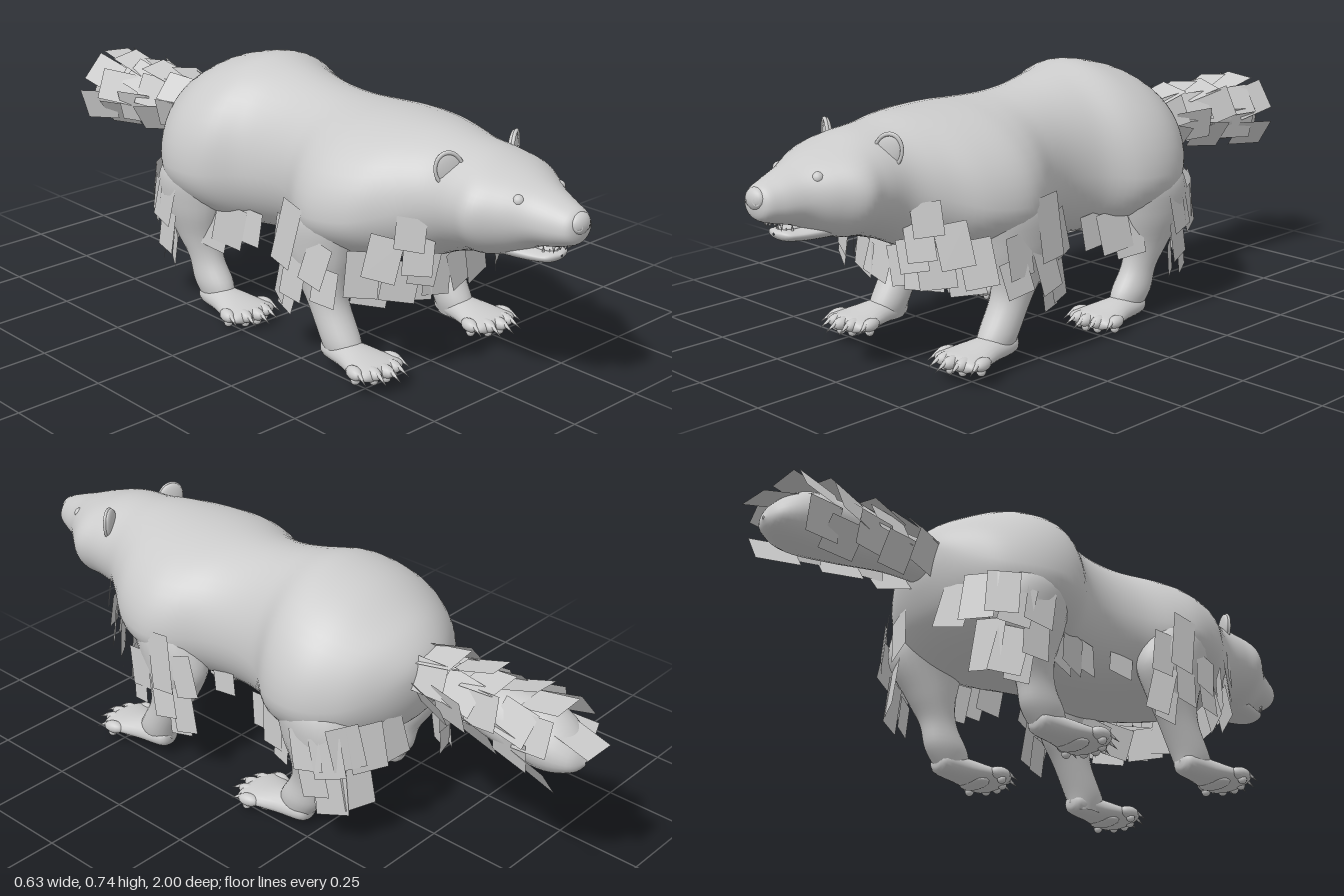
import * as THREE from 'three';
import { mergeGeometries } from 'three/addons/utils/BufferGeometryUtils.js';

const mat = new THREE.MeshStandardMaterial({ color: 0xcccccc });
const thin = new THREE.MeshStandardMaterial({ color: 0xcccccc, side: THREE.DoubleSide });
const V = (x, y, z) => new THREE.Vector3(x, y, z);

let seed = 7;
const jitter = (a) => {
  seed = (seed * 16807) % 2147483647;
  return a * (2 * seed / 2147483647 - 1);
};

function add(parent, name, geo, material = mat) {
  const m = new THREE.Mesh(geo, material);
  m.name = name;
  parent.add(m);
  return m;
}

// Smooth skin along +z through rings [z, centreX, centreY, halfWidth, up, down]
function loft(rings, sub = 5, seg = 32) {
  const rows = [];
  const at = (i) => rings[Math.min(Math.max(i, 0), rings.length - 1)];
  for (let i = 0; i < rings.length - 1; i++) {
    for (let k = 0; k < sub; k++) {
      const t = k / sub;
      rows.push(at(i).map((b, c) => {
        const a = at(i - 1)[c], d = at(i + 1)[c], e = at(i + 2)[c];
        return b + 0.5 * t * (d - a + t * (2 * a - 5 * b + 4 * d - e + t * (3 * (b - d) + e - a)));
      }));
    }
  }
  rows.push(at(rings.length - 1));
  const pos = [], idx = [];
  rows.forEach(([z, cx, cy, w, up, down], i) => {
    for (let j = 0; j < seg; j++) {
      const a = (j / seg) * Math.PI * 2, s = Math.sin(a);
      pos.push(cx + Math.cos(a) * w, cy + s * (s > 0 ? up : down), z);
      if (i === rows.length - 1) continue;
      const n = (j + 1) % seg, p = i * seg, q = p + seg;
      idx.push(p + j, p + n, q + n, p + j, q + n, q + j);
    }
  });
  const g = new THREE.BufferGeometry();
  g.setAttribute('position', new THREE.Float32BufferAttribute(pos, 3));
  g.setIndex(idx);
  g.computeVertexNormals();
  return g;
}

// Flat fur card fixed at its top edge; up is the way back to the root
function card(p, normal, up, w, h, tilt, roll = 0) {
  const x = up.clone().cross(normal);
  const m = new THREE.Matrix4().makeBasis(x, up, normal).setPosition(p);
  return new THREE.PlaneGeometry(w, h).translate(0, -h / 2, 0)
    .rotateZ(roll).rotateX(-tilt).applyMatrix4(m);
}

// Paw with five toes, claws and sole pads; origin on the ground below the heel
function paw(parent, name, s, x, y, z) {
  const g = new THREE.Group();
  g.name = name;
  g.position.set(s * x, y, z);
  parent.add(g);
  add(g, 'foot', loft([
    [0.015, 0, 0.045, 0.004, 0.004, 0.004], [0.03, 0, 0.042, 0.036, 0.03, 0.03],
    [0.11, 0, 0.036, 0.052, 0.038, 0.029], [0.19, 0, 0.034, 0.076, 0.026, 0.026],
    [0.235, 0, 0.032, 0.072, 0.02, 0.02], [0.25, 0, 0.03, 0.004, 0.004, 0.004]], 4, 24));
  for (let i = -2; i <= 2; i++) {
    const toe = new THREE.Group();
    toe.name = 'toe';
    toe.position.set(i * 0.034, 0.036, 0.238 - 0.011 * i * i);
    toe.rotation.y = i * 0.12;
    g.add(toe);
    add(toe, 'toeBody', new THREE.SphereGeometry(0.019, 14, 10)).scale.set(1, 0.95, 1.7);
    add(toe, 'claw', new THREE.ConeGeometry(0.007, 0.042, 8)
      .rotateX(Math.PI / 2 + 0.5).translate(0, -0.004, 0.042));
    add(toe, 'toePad', new THREE.SphereGeometry(0.013, 10, 8).translate(0, -0.018, 0.006));
  }
  add(g, 'solePad', new THREE.SphereGeometry(0.04, 14, 10).scale(1.3, 0.35, 0.8).translate(0, 0.014, 0.16));
}

export function createModel() {
  const model = new THREE.Group();

  // Torso, neck and head: [z, widest level, half width, top, bottom]
  const skin = [
    [-0.475, 0.51, 0.004, 0.514, 0.506], [-0.46, 0.51, 0.08, 0.57, 0.43], [-0.42, 0.48, 0.16, 0.62, 0.35],
    [-0.36, 0.45, 0.24, 0.66, 0.3], [-0.28, 0.44, 0.295, 0.703, 0.27], [-0.2, 0.44, 0.31, 0.728, 0.26],
    [-0.12, 0.44, 0.29, 0.74, 0.25], [-0.03, 0.45, 0.23, 0.722, 0.25], [0.07, 0.46, 0.213, 0.7, 0.26],
    [0.17, 0.46, 0.235, 0.688, 0.27], [0.27, 0.45, 0.292, 0.687, 0.28], [0.35, 0.45, 0.308, 0.69, 0.295],
    [0.45, 0.46, 0.28, 0.69, 0.31], [0.54, 0.49, 0.22, 0.686, 0.33], [0.62, 0.52, 0.175, 0.674, 0.365],
    [0.7, 0.53, 0.17, 0.664, 0.39], [0.76, 0.53, 0.174, 0.648, 0.4], [0.82, 0.53, 0.135, 0.63, 0.42],
    [0.88, 0.525, 0.092, 0.607, 0.452], [0.94, 0.52, 0.066, 0.585, 0.468], [0.98, 0.52, 0.045, 0.565, 0.485],
    [0.99, 0.52, 0.004, 0.524, 0.516]];
  add(model, 'body', loft(skin.map(([z, c, w, t, b]) => [z, 0, c, w, t - c, c - b]), 5, 48));

  // Muzzle: lower jaw, teeth, tongue and nose
  add(model, 'lowerJaw', loft([
    [0.72, 0, 0.44, 0.09, 0.03, 0.035], [0.82, 0, 0.435, 0.07, 0.02, 0.028], [0.88, 0, 0.434, 0.054, 0.014, 0.022],
    [0.915, 0, 0.436, 0.04, 0.012, 0.016], [0.93, 0, 0.438, 0.003, 0.003, 0.003]]));
  add(model, 'tongue', new THREE.SphereGeometry(0.026, 14, 8).scale(1, 0.25, 1.8).translate(0, 0.448, 0.87));
  const teeth = [];
  for (let i = -3; i <= 3; i++) {
    const h = Math.abs(i) === 3 ? 0.024 : 0.013, z = 0.95 - 0.0025 * i * i;
    teeth.push(new THREE.ConeGeometry(0.005, h, 8).rotateX(Math.PI).translate(i * 0.01, 0.474 - h / 2, z));
    teeth.push(new THREE.ConeGeometry(0.004, h * 0.8, 8).translate(i * 0.009, 0.443 + h * 0.4, z - 0.035));
  }
  add(model, 'teeth', mergeGeometries(teeth));
  add(model, 'nose', new THREE.SphereGeometry(0.031, 20, 14).scale(1.12, 0.95, 0.7).translate(0, 0.538, 0.978));

  for (const s of [1, -1]) {
    const side = s > 0 ? 'left' : 'right';
    add(model, side + 'Nostril', new THREE.TorusGeometry(0.009, 0.005, 8, 14).rotateY(s * 0.5).translate(s * 0.018, 0.535, 0.99));
    add(model, side + 'Eye', new THREE.SphereGeometry(0.016, 16, 12).translate(s * 0.078, 0.58, 0.848));
    // Rounded ear: cupped back and raised rim
    const ear = new THREE.Group();
    ear.name = side + 'Ear';
    ear.position.set(s * 0.124, 0.622, 0.66);
    ear.rotation.set(0, s * 0.5, -s * 0.3);
    model.add(ear);
    add(ear, 'earBack', new THREE.SphereGeometry(0.043, 20, 14).scale(0.9, 1.15, 0.28).translate(0, 0, -0.006));
    add(ear, 'earRim', new THREE.TorusGeometry(0.038, 0.005, 8, 28).scale(0.95, 1.22, 1));

    // Legs: [height, x, -z, half width, back, front]
    const leg = (name, rings) => add(model, side + name,
      loft(rings.map(([y, x, z, ...r]) => [y, s * x, z, ...r]), 5, 24).rotateX(-Math.PI / 2));
    leg('FrontLeg', [
      [0.04, 0.218, -0.38, 0.036, 0.05, 0.07], [0.09, 0.218, -0.37, 0.05, 0.058, 0.065],
      [0.18, 0.218, -0.325, 0.053, 0.062, 0.062], [0.25, 0.22, -0.3, 0.06, 0.085, 0.085],
      [0.34, 0.22, -0.29, 0.08, 0.11, 0.12], [0.46, 0.2, -0.32, 0.095, 0.1, 0.12],
      [0.56, 0.15, -0.34, 0.05, 0.06, 0.06]]);
    leg('HindLeg', [
      [0.025, 0.197, 0.165, 0.034, 0.045, 0.06], [0.08, 0.197, 0.185, 0.048, 0.066, 0.07],
      [0.15, 0.2, 0.215, 0.046, 0.055, 0.06], [0.22, 0.205, 0.24, 0.058, 0.075, 0.078],
      [0.32, 0.212, 0.255, 0.08, 0.12, 0.12], [0.43, 0.19, 0.24, 0.1, 0.115, 0.13],
      [0.53, 0.14, 0.22, 0.05, 0.06, 0.07]]);
    paw(model, side + 'FrontPaw', s, 0.222, 0.022, 0.305);
    paw(model, side + 'HindPaw', s, 0.2, 0, -0.235);

    // Hanging fur: [x, top, z, yaw in degrees, width, length]
    const fur = (name, list) => add(model, side + name, mergeGeometries(list.map(([x, y, z, yaw, w, h]) => {
      const a = yaw * Math.PI / 180 + jitter(0.12);
      return card(V(s * x, y, z), V(s * Math.sin(a), 0, Math.cos(a)), V(0, 1, 0), w, h,
        0.08 + jitter(0.06), s * 0.16 + jitter(0.1));
    })), thin);
    fur('ChestFur', [
      [0.185, 0.49, 0.595, 55, 0.08, 0.09], [0.16, 0.43, 0.6, 35, 0.08, 0.1], [0.215, 0.43, 0.54, 45, 0.09, 0.12],
      [0.13, 0.385, 0.6, 30, 0.08, 0.09], [0.175, 0.36, 0.56, 35, 0.1, 0.11], [0.115, 0.33, 0.54, 15, 0.12, 0.1],
      [0.035, 0.34, 0.55, 5, 0.1, 0.11], [0.2, 0.32, 0.48, 30, 0.1, 0.1], [0.24, 0.38, 0.48, 40, 0.09, 0.13],
      [0.14, 0.32, 0.45, 60, 0.1, 0.1], [0.14, 0.31, 0.36, 80, 0.1, 0.09]]);
    fur('ElbowFur', [
      [0.302, 0.47, 0.275, 93, 0.08, 0.18], [0.28, 0.41, 0.215, 105, 0.07, 0.13], [0.292, 0.33, 0.28, 93, 0.08, 0.13],
      [0.275, 0.31, 0.22, 110, 0.07, 0.15], [0.265, 0.25, 0.235, 105, 0.07, 0.11],
      [0.29, 0.38, 0.37, 80, 0.08, 0.12], [0.28, 0.31, 0.38, 75, 0.08, 0.1]]);
    fur('BellyFur', [
      [0.18, 0.37, 0.14, 90, 0.08, 0.09], [0.19, 0.34, -0.02, 85, 0.08, 0.1],
      [0.21, 0.34, -0.08, 75, 0.1, 0.12], [0.22, 0.31, -0.13, 70, 0.09, 0.11]]);
    fur('ThighFur', [
      [0.29, 0.38, -0.27, 97, 0.09, 0.12], [0.275, 0.37, -0.33, 115, 0.09, 0.12], [0.25, 0.41, -0.37, 132, 0.09, 0.13],
      [0.2, 0.41, -0.405, 150, 0.1, 0.14], [0.13, 0.4, -0.42, 165, 0.1, 0.13],
      [0.28, 0.29, -0.28, 100, 0.08, 0.12], [0.25, 0.26, -0.33, 125, 0.09, 0.14], [0.2, 0.29, -0.37, 160, 0.09, 0.15],
      [0.24, 0.21, -0.3, 120, 0.07, 0.1]]);
  }

  // Tail core and the shingled fur on its top and sides
  add(model, 'tail', loft([
    [-0.965, 0, 0.445, 0.004, 0.004, 0.004], [-0.94, 0, 0.452, 0.055, 0.045, 0.04], [-0.86, 0, 0.47, 0.092, 0.085, 0.078],
    [-0.72, 0, 0.488, 0.088, 0.075, 0.078], [-0.56, 0, 0.5, 0.066, 0.058, 0.062], [-0.42, 0, 0.505, 0.062, 0.055, 0.06]], 5, 24));
  const tailFur = [];
  for (let row = 0; row < 5; row++) {
    const z = -0.445 - row * 0.09, r = 0.062 + 0.007 * row;
    for (let k = 0; k < 5; k++) {
      const a = (-25 + k * 57.5 + (row % 2 ? 9 : -9)) * Math.PI / 180 + jitter(0.1);
      const n = V(Math.cos(a), Math.sin(a), 0);
      const p = n.clone().multiplyScalar(r).add(V(0, 0.506 - 0.008 * row, z + jitter(0.02)));
      tailFur.push(card(p, n, V(0, 0, 1), 0.095, 0.125, 0.22 + jitter(0.12), jitter(0.15)));
    }
  }
  tailFur.push(card(V(0, 0.525, -0.88), V(0, 1, 0), V(0, 0, 1), 0.1, 0.125, -0.28));
  add(model, 'tailFur', mergeGeometries(tailFur), thin);

  return model;
}
